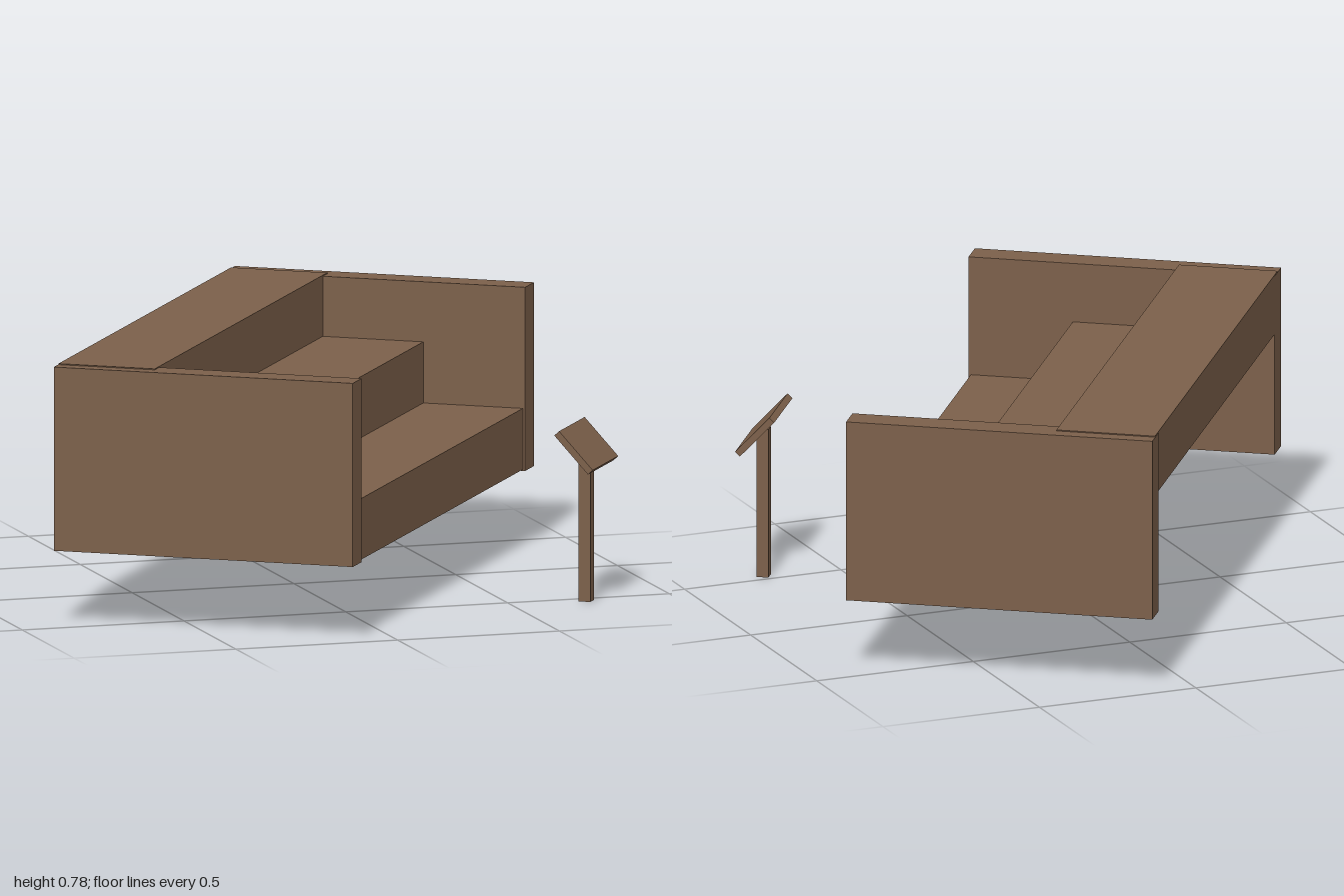
import * as THREE from 'three';

export function createModel() {
  const wood = new THREE.MeshStandardMaterial({ color: 0x7c604a });
  wood.name = 'brown wood';

  // Box given by its ranges on each axis
  function block(name, [x0, x1], [y0, y1], [z0, z1]) {
    const mesh = new THREE.Mesh(new THREE.BoxGeometry(x1 - x0, y1 - y0, z1 - z0), wood);
    mesh.name = name;
    mesh.position.set((x0 + x1) / 2, (y0 + y1) / 2, (z0 + z1) / 2);
    return mesh;
  }

  // Everything is laid out along x, then turned on the ground
  const stand = new THREE.Group();
  stand.name = 'tieredStand';
  stand.rotation.y = 0.957;

  // End walls
  for (const s of [-1, 1]) {
    const name = s < 0 ? 'endWallA' : 'endWallB';
    const xs = [s * 0.805, s * 0.893].sort((a, b) => a - b);
    stand.add(block(name, xs, [0.225, 0.774], [-0.461, 0.461]));
  }

  // Three stepped tiers, open underneath, let into the end walls
  const edges = [0.454, 0.147, -0.163, -0.46];
  const base = 0.229, rise = 0.1827;
  ['lowerTier', 'middleTier', 'upperTier'].forEach((name, i) => {
    stand.add(block(name, [-0.85, 0.85], [base + i * rise, base + (i + 1) * rise], [edges[i + 1], edges[i]]));
  });

  // Lectern: square post with a tilted plate
  const lectern = new THREE.Group();
  lectern.name = 'lectern';
  lectern.position.set(-0.017, 0, 0.907);
  lectern.add(block('lecternPost', [-0.018, 0.018], [0, 0.455], [-0.018, 0.018]));
  const plate = block('lecternPlate', [-0.126, 0.126], [-0.01, 0.01], [-0.076, 0.076]);
  plate.position.y = 0.463;
  plate.rotation.x = THREE.MathUtils.degToRad(47);
  lectern.add(plate);
  stand.add(lectern);

  const model = new THREE.Group();
  model.name = 'model';
  model.add(stand);
  return model;
}
